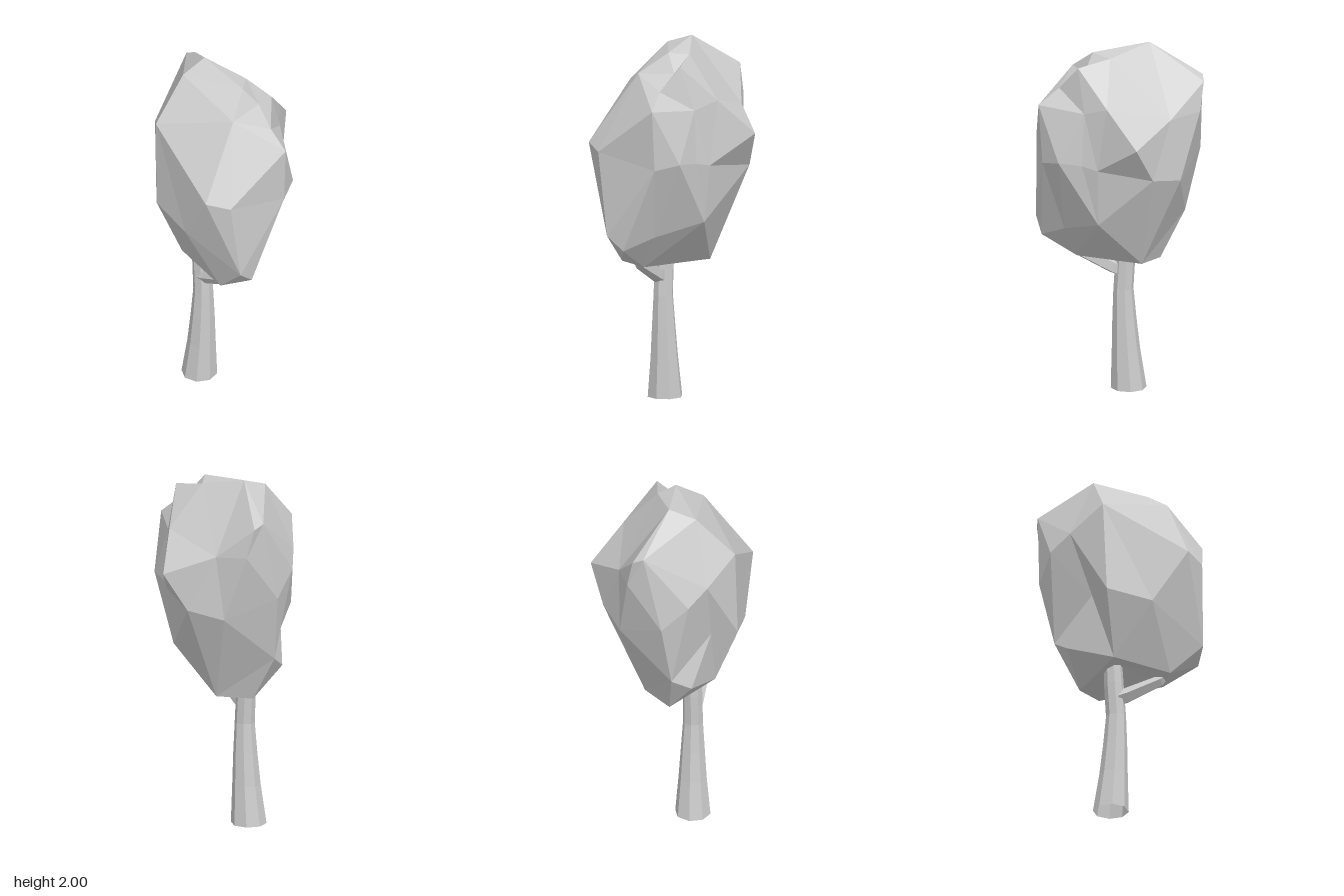
import * as THREE from 'three';
import { ConvexGeometry } from 'three/addons/geometries/ConvexGeometry.js';

const material = new THREE.MeshStandardMaterial({ color: 0xcccccc, flatShading: true, side: THREE.DoubleSide });

// Faceted open limb: each station is [x, y, z, radius], rings all face the same way
function limb(name, stations, sides, ringAxis) {
  const n = stations.length - 1;
  const geo = new THREE.CylinderGeometry(1, 1, n, sides, n, true);
  const turn = new THREE.Quaternion().setFromUnitVectors(new THREE.Vector3(0, 1, 0), ringAxis.clone().normalize());
  const pos = geo.attributes.position;
  const v = new THREE.Vector3();
  for (let i = 0; i < pos.count; i++) {
    const [x, y, z, r] = stations[Math.round(pos.getY(i) + n / 2)];
    v.set(pos.getX(i) * r, 0, pos.getZ(i) * r).applyQuaternion(turn);
    pos.setXYZ(i, v.x + x, v.y + y, v.z + z);
  }
  geo.computeVertexNormals();
  const mesh = new THREE.Mesh(geo, material);
  mesh.name = name;
  return mesh;
}

// Irregular crown: corners are joined by the hull of their directions from
// the middle, then put back at their own distance, so dents survive
function crown() {
  const corners = [
    // top
    [-0.17, 2.0, 0.045], [-0.165, 1.95, 0.195], [0.145, 1.96, 0.02], [0.06, 1.945, -0.065],
    [0.24, 1.91, -0.105], [0.24, 1.85, 0.155], [0.335, 1.78, -0.03], [-0.45, 1.81, -0.1],
    [-0.45, 1.835, -0.04],
    // notch in the top and ridge running back
    [0.2, 1.86, -0.047], [0.1, 1.715, -0.26],
    // upper sides
    [-0.13, 1.73, 0.405], [0.45, 1.69, -0.045], [0.215, 1.67, -0.18], [-0.255, 1.63, -0.215],
    [-0.425, 1.65, -0.135], [-0.3, 1.6, 0.285], [-0.4, 1.52, 0.2], [-0.045, 1.52, -0.415],
    // middle
    [0.335, 1.46, 0.41], [0.42, 1.43, 0.305], [0.43, 1.36, -0.05], [0.355, 1.39, -0.165],
    [0.23, 1.38, -0.2], [0.15, 1.36, -0.24], [-0.145, 1.32, -0.325], [-0.45, 1.39, 0.06],
    [-0.31, 1.28, -0.2], [-0.18, 1.235, 0.283], [-0.11, 1.22, 0.415], [0.14, 1.16, 0.405],
    // lower sides
    [0.14, 1.04, -0.2], [-0.37, 1.02, 0.1], [-0.31, 0.95, 0.2], [0.3, 0.96, 0.02],
    [0.43, 0.97, 0.245], [0.41, 0.89, 0.155], [-0.06, 0.87, 0.28], [0.25, 0.8, 0.25],
    // underside, hollowed around the trunk
    [0.22, 0.77, 0.13], [-0.23, 0.765, 0.06], [-0.11, 0.78, -0.1], [0, 0.87, 0.17],
  ].map((c) => new THREE.Vector3(...c));
  const middle = new THREE.Vector3(0, 1.38, 0.04);
  const stretch = new THREE.Vector3(0.45, 0.63, 0.4);
  const directions = corners.map((c) => c.clone().sub(middle).divide(stretch).normalize());
  const geo = new ConvexGeometry(directions);
  const pos = geo.attributes.position;
  const v = new THREE.Vector3();
  for (let i = 0; i < pos.count; i++) {
    v.fromBufferAttribute(pos, i);
    let best = 0;
    directions.forEach((d, k) => {
      if (d.distanceToSquared(v) < directions[best].distanceToSquared(v)) best = k;
    });
    pos.setXYZ(i, corners[best].x, corners[best].y, corners[best].z);
  }
  geo.computeVertexNormals();
  const mesh = new THREE.Mesh(geo, material);
  mesh.name = 'crown';
  return mesh;
}

export function createModel() {
  const tree = new THREE.Group();
  tree.name = 'tree';
  // Trunk flares at the foot and bends below the crown
  const trunk = limb('trunk', [
    [-0.067, 0, 0.157, 0.098], [-0.052, 0.22, 0.153, 0.078], [-0.043, 0.4, 0.152, 0.066],
    [-0.038, 0.57, 0.152, 0.055], [-0.05, 0.76, 0.152, 0.054], [-0.055, 0.9, 0.152, 0.05],
  ], 8, new THREE.Vector3(0, 1, 0));
  // Side branch reaching into the crown
  const branch = limb('branch', [
    [-0.03, 0.675, 0.16, 0.045], [0.02, 0.695, 0.16, 0.044], [0.2, 0.785, 0.17, 0.032], [0.25, 0.83, 0.17, 0.02],
  ], 5, new THREE.Vector3(1, 0.45, 0));
  tree.add(trunk, branch, crown());
  return tree;
}
